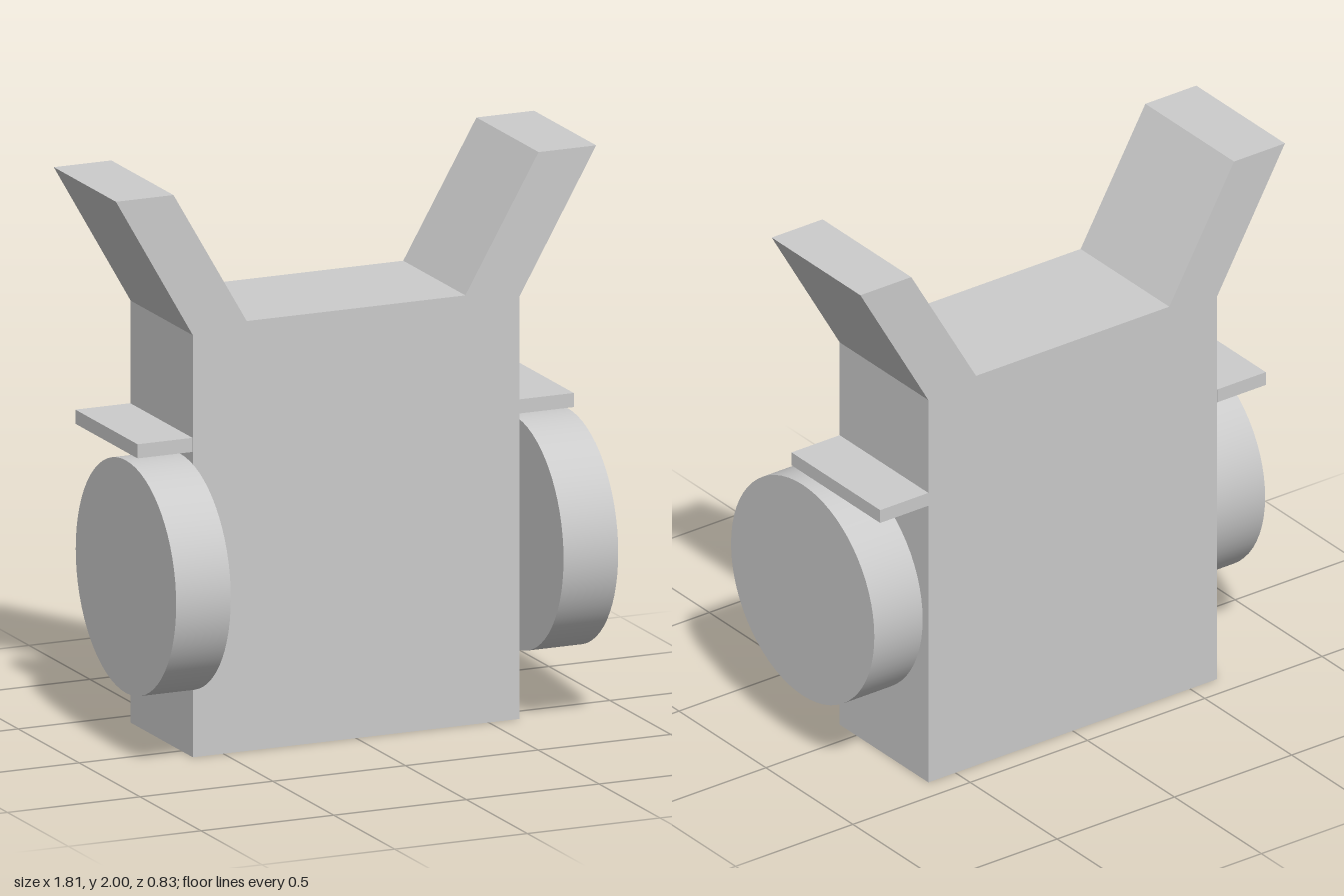
import * as THREE from 'three';

const BACK = -0.415, DEPTH = 0.51;

export function createModel() {
  const model = new THREE.Group();
  const material = new THREE.MeshStandardMaterial({ color: 0xcccccc });

  const add = (name, geometry, x, y, z) => {
    const mesh = new THREE.Mesh(geometry, material);
    mesh.name = name;
    mesh.position.set(x, y, z);
    model.add(mesh);
    return mesh;
  };

  // Upright slab with two splayed horns, extruded from one mirrored outline
  const half = [[0.615, 0], [0.615, 1.495], [0.905, 2], [0.688, 2], [0.412, 1.523]];
  const mirrored = half.map(([x, y]) => [-x, y]).reverse();
  const outline = new THREE.Shape([...half, ...mirrored].map(([x, y]) => new THREE.Vector2(x, y)));
  add('body', new THREE.ExtrudeGeometry(outline, { depth: DEPTH, bevelEnabled: false }), 0, 0, BACK);

  // Thin ledges above the wheels, flush with the slab's front and back
  const ledge = new THREE.BoxGeometry(0.207, 0.05, DEPTH);
  add('leftLedge', ledge, 0.717, 1.107, BACK + DEPTH / 2);
  add('rightLedge', ledge, -0.72, 1.107, BACK + DEPTH / 2);

  // Side wheels; the left one stands slightly clear of the slab
  const wheel = new THREE.CylinderGeometry(0.412, 0.412, 0.206, 64).rotateZ(Math.PI / 2);
  add('leftWheel', wheel, 0.738, 0.641, 0.003);
  add('rightWheel', wheel, -0.722, 0.641, 0.003);

  return model;
}
